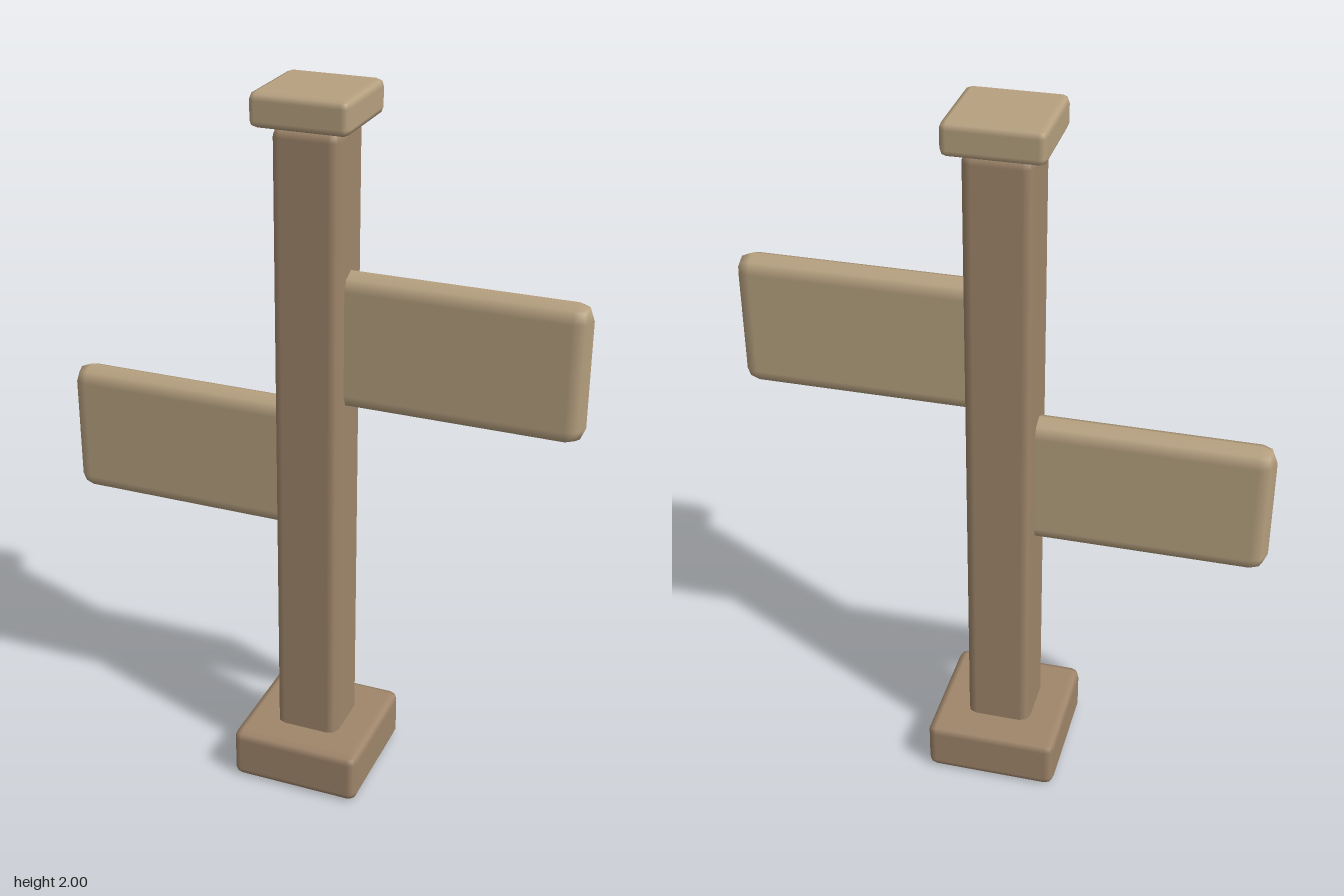
import * as THREE from 'three';
import { RoundedBoxGeometry } from 'three/addons/geometries/RoundedBoxGeometry.js';

const darkWood = new THREE.MeshStandardMaterial({ color: 0xa0866b });
const lightWood = new THREE.MeshStandardMaterial({ color: 0xb7a180 });

// Bevelled block given by its x range, y range, depth and bevel radius
function block(name, [x0, x1], [y0, y1], depth, radius, material) {
  const geometry = new RoundedBoxGeometry(x1 - x0, y1 - y0, depth, 1, radius);
  const mesh = new THREE.Mesh(geometry, material);
  mesh.name = name;
  mesh.position.set((x0 + x1) / 2, (y0 + y1) / 2, 0);
  return mesh;
}

export function createModel() {
  const group = new THREE.Group();
  group.name = 'signpost';

  // Upright with its foot and cap
  group.add(block('base', [-0.188, 0.188], [0, 0.15], 0.376, 0.025, darkWood));
  group.add(block('post', [-0.092, 0.092], [0.08, 1.91], 0.184, 0.028, darkWood));
  group.add(block('cap', [-0.132, 0.132], [1.91, 2], 0.264, 0.02, lightWood));

  // Two boards at different heights, pointing opposite ways
  group.add(block('leftBoard', [0, 0.725], [1.155, 1.532], 0.092, 0.044, lightWood));
  group.add(block('rightBoard', [-0.725, 0], [0.77, 1.147], 0.092, 0.044, lightWood));

  return group;
}
